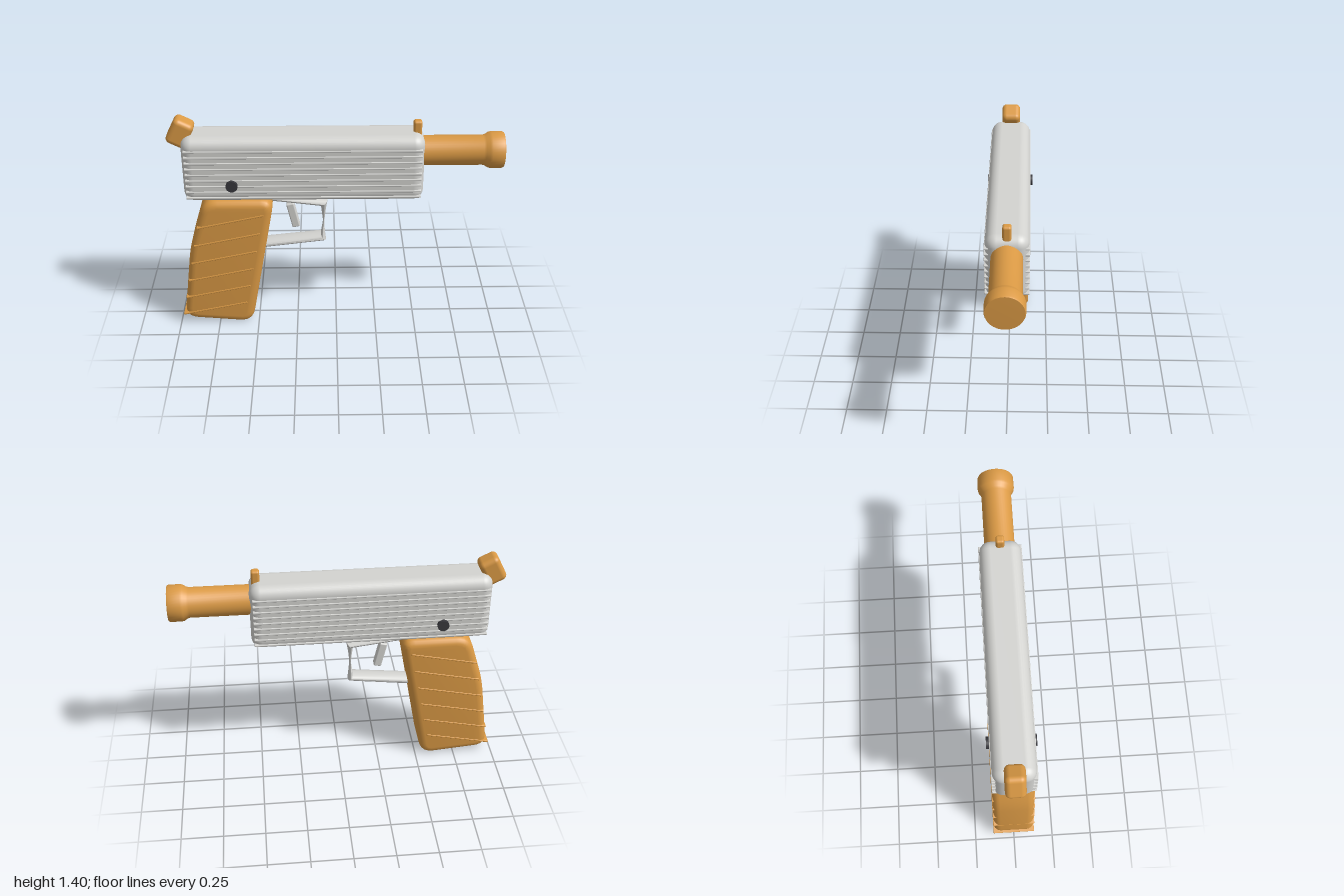
import * as THREE from 'three';
import { toCreasedNormals } from 'three/addons/utils/BufferGeometryUtils.js';
import { RoundedBoxGeometry } from 'three/addons/geometries/RoundedBoxGeometry.js';

export function createModel() {
  const group = new THREE.Group();
  const material = (name, color) => {
    const m = new THREE.MeshStandardMaterial({ color });
    m.name = name;
    return m;
  };
  const orange = material('orange', 0xdb9a45);
  const grey = material('light grey', 0xd3d3d0);
  const dark = material('dark grey', 0x38383d);
  grey.side = THREE.DoubleSide;

  const add = (name, geometry, mat, x = 0, y = 0, z = 0, turn = 0) => {
    const mesh = new THREE.Mesh(geometry, mat);
    mesh.name = name;
    mesh.position.set(x, y, z);
    mesh.rotation.z = turn;
    group.add(mesh);
    return mesh;
  };
  const rounded = (w, h, d, r) => new RoundedBoxGeometry(w, h, d, 4, r);

  // Upper body with full-width ribs peeking out of its sides
  add('upperBody', rounded(1.435, 0.42, 0.246, 0.065), grey, -0.195, 1.1);
  for (let i = 0; i < 9; i++) {
    add('bodyRib', rounded(1.4, 0.012, 0.256, 0.004), grey, -0.195, 0.93 + i * 0.038);
  }

  // Side buttons, one pin through the body
  add('sideButton', new THREE.CylinderGeometry(0.035, 0.035, 0.29, 24), dark, -0.62, 1.015)
    .rotation.x = Math.PI / 2;

  // Barrel with flared end
  const profile = [
    [0.09, 0.4], [0.09, 0.87], [0.094, 0.885], [0.107, 0.905], [0.11, 0.92],
    [0.109, 0.985], [0.105, 0.995], [0, 0.997],
  ].map(([r, x]) => new THREE.Vector2(r, x));
  const barrel = toCreasedNormals(new THREE.LatheGeometry(profile, 40), 0.9);
  add('barrel', barrel.rotateZ(-Math.PI / 2), orange, 0, 1.18);

  // Sight and hammer
  add('frontSight', rounded(0.05, 0.12, 0.05, 0.014), orange, 0.48, 1.316);
  add('hammer', rounded(0.125, 0.165, 0.116, 0.03), orange, -0.916, 1.313, 0, -0.47);

  // Grip: rounded outline, bevelled on both sides
  const corners = [
    [-0.8, 0.9], [-0.975, 0.04], [-0.54, 0], [-0.375, 0.9],
  ].map(([x, y]) => new THREE.Vector2(x, y));
  corners.splice(1, 0, new THREE.Vector2(-0.905, 0.56));
  const outline = new THREE.Shape();
  corners.forEach((p, i) => {
    const toward = (q) => p.clone().add(q.clone().sub(p).setLength(0.085));
    const a = toward(corners[(i + 4) % 5]);
    const b = toward(corners[(i + 1) % 5]);
    if (i === 0) outline.moveTo(a.x, a.y);
    else outline.lineTo(a.x, a.y);
    outline.quadraticCurveTo(p.x, p.y, b.x, b.y);
  });
  outline.closePath();
  const bevel = 0.045;
  const grip = new THREE.ExtrudeGeometry(outline, {
    depth: 0.256 - 2 * bevel, bevelThickness: bevel, bevelSize: bevel,
    bevelOffset: -bevel, bevelSegments: 5, curveSegments: 6,
  });
  grip.translate(0, 0, -0.128 + bevel);
  add('grip', toCreasedNormals(grip, 0.6), orange);

  // Slanted grip ridges
  for (let i = 0; i < 6; i++) {
    add('gripRidge', rounded(0.42, 0.012, 0.262, 0.004), orange,
      -0.645 - i * 0.0255, 0.763 - i * 0.128, 0, 0.21);
  }

  // Trigger
  add('trigger', rounded(0.048, 0.168, 0.05, 0.008), grey, -0.265, 0.745, 0, 0.22);

  // Trigger guard: oval band along three bars, its upright twisted
  const sides = 16;
  const ring = (x, y, ux, uy, half, twist) => Array.from({ length: sides }, (_, j) => {
    const a = (j / sides) * Math.PI * 2 + twist;
    return new THREE.Vector3(x + ux * Math.cos(a), y + uy * Math.cos(a), half * Math.sin(a));
  });
  const twist = Math.PI * 0.83;
  const top = ring(-0.073, 0.834, 0.022, 0.02, 0.05, 0);
  const bottom = ring(-0.08, 0.59, 0.016, -0.022, 0.053, twist);
  const rings = [ring(-0.385, 0.874, 0.003, 0.022, 0.05, 0)];
  for (let k = 0; k <= 8; k++) rings.push(top.map((p, j) => p.clone().lerp(bottom[j], k / 8)));
  rings.push(ring(-0.45, 0.546, 0.004, -0.028, 0.053, twist));
  const index = [];
  for (let i = 0; i < rings.length - 1; i++) {
    for (let j = 0; j < sides; j++) {
      const n = (j + 1) % sides;
      const a = i * sides + j, b = i * sides + n;
      index.push(a, b, a + sides, b, b + sides, a + sides);
    }
  }
  const guard = new THREE.BufferGeometry().setFromPoints(rings.flat());
  guard.setIndex(index);
  add('triggerGuard', toCreasedNormals(guard, 0.7), grey);

  return group;
}
